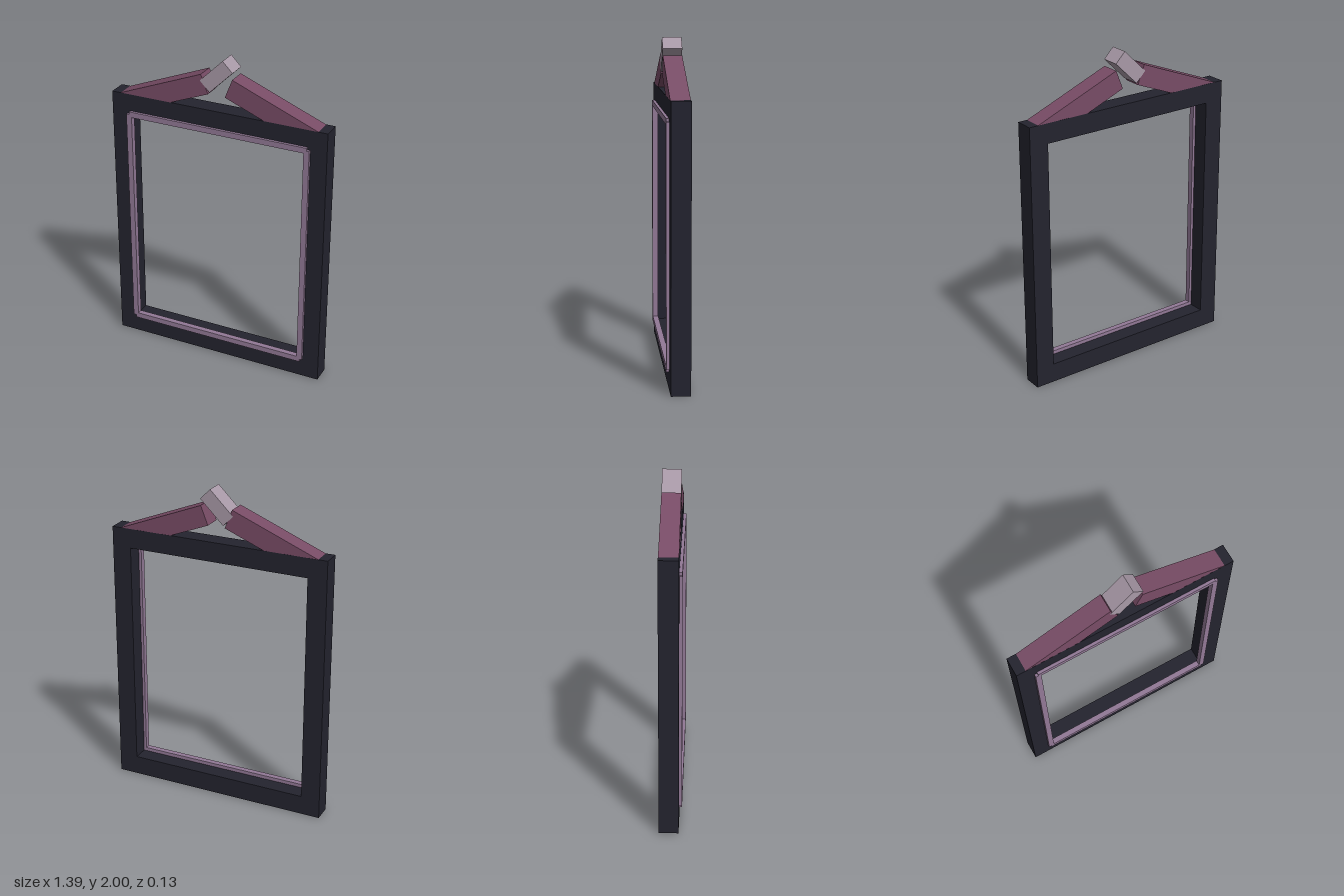
import * as THREE from 'three';

export function createModel() {
  const group = new THREE.Group();
  group.name = 'pedimentFrame';

  const material = (name, color) => {
    const m = new THREE.MeshStandardMaterial({ color });
    m.name = name;
    return m;
  };
  const dark = material('dark frame', 0x23232e);
  const plum = material('plum strut', 0x784c66);
  const mauve = material('mauve trim', 0x927996);
  const pale = material('pale capstone', 0xa899a7);

  const midZ = -0.009, depth = 0.116;

  const box = (name, mat, size, position, angle = 0) => {
    const mesh = new THREE.Mesh(new THREE.BoxGeometry(...size), mat);
    mesh.name = name;
    mesh.position.set(...position);
    mesh.rotation.z = angle;
    group.add(mesh);
  };

  // Main frame: one slab with a rectangular opening
  const rect = (target, x, y0, y1) =>
    target.moveTo(-x, y0).lineTo(x, y0).lineTo(x, y1).lineTo(-x, y1).closePath();
  const outline = rect(new THREE.Shape(), 0.697, 0, 1.68);
  outline.holes.push(rect(new THREE.Path(), 0.577, 0.122, 1.558));
  const frameGeometry = new THREE.ExtrudeGeometry(outline, { depth, bevelEnabled: false });
  frameGeometry.translate(0, 0, midZ - depth / 2);
  const frame = new THREE.Mesh(frameGeometry, dark);
  frame.name = 'mainFrame';
  group.add(frame);

  // Thin trim rods along the opening, with notched outer corners
  const rod = 0.035, trimX = 0.577, trimLow = 0.127, trimHigh = 1.556;
  for (const side of [-1, 1]) {
    box(side > 0 ? 'leftTrim' : 'rightTrim', mauve,
      [rod, trimHigh - trimLow, rod], [side * trimX, (trimLow + trimHigh) / 2, 0.0495]);
  }
  for (const y of [trimLow, trimHigh]) {
    box(y > 1 ? 'topTrim' : 'bottomTrim', mauve, [trimX * 2, rod, rod], [0, y, 0.0494]);
  }

  // Sloping struts of the broken pediment, sunk into the frame
  for (const side of [-1, 1]) {
    box(side > 0 ? 'leftStrut' : 'rightStrut', plum,
      [0.587, 0.125, depth - 0.001], [side * 0.35, 1.728, midZ], -side * 0.38);
  }

  // Tilted capstone
  box('capstone', pale, [0.206, 0.09, depth], [-0.002, 1.896, midZ], 0.775);

  return group;
}
